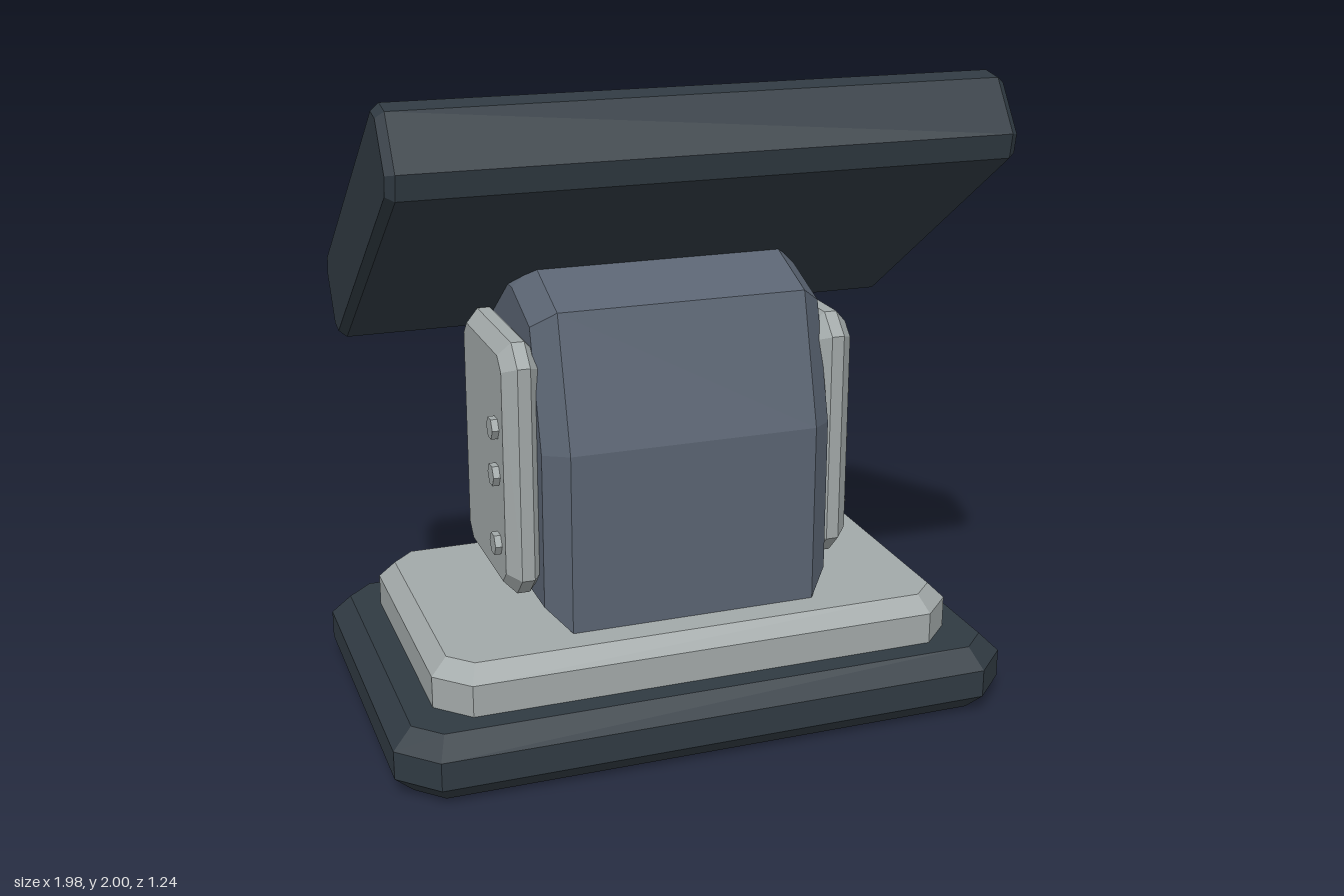
import * as THREE from 'three';

const mat = (name, color) => {
  const m = new THREE.MeshStandardMaterial({ color });
  m.name = name;
  return m;
};

// Octagon outline: rectangle with cut corners, counter-clockwise
function octagon(w, h, c) {
  return [[-w + c, -h], [w - c, -h], [w, -h + c], [w, h - c],
    [w - c, h], [-w + c, h], [-w, h - c], [-w, -h + c]];
}

// Move every edge of a convex outline inwards by d
function inset(pts, d) {
  const n = pts.length;
  return pts.map((p, i) => {
    const a = pts[(i + n - 1) % n], b = pts[(i + 1) % n];
    const l1 = Math.hypot(p[0] - a[0], p[1] - a[1]);
    const l2 = Math.hypot(b[0] - p[0], b[1] - p[1]);
    const n1 = [-(p[1] - a[1]) / l1, (p[0] - a[0]) / l1];
    const n2 = [-(b[1] - p[1]) / l2, (b[0] - p[0]) / l2];
    const k = d / (1 + n1[0] * n2[0] + n1[1] * n2[1]);
    return [p[0] + (n1[0] + n2[0]) * k, p[1] + (n1[1] + n2[1]) * k];
  });
}

// Flat-faced solid along z from an outline and levels of [depth, inset]
function bevelled(outline, levels) {
  const rings = levels.map(([z, d]) => inset(outline, d).map(([x, y]) => [x, y, z]));
  const pos = [];
  const tri = (a, b, c) => pos.push(...a, ...b, ...c);
  const n = outline.length;
  for (let r = 0; r < rings.length - 1; r++) {
    for (let i = 0; i < n; i++) {
      const j = (i + 1) % n, lo = rings[r], hi = rings[r + 1];
      tri(lo[i], lo[j], hi[j]);
      tri(lo[i], hi[j], hi[i]);
    }
  }
  const first = rings[0], last = rings[rings.length - 1];
  for (let i = 1; i < n - 1; i++) {
    tri(first[0], first[i + 1], first[i]);
    tri(last[0], last[i], last[i + 1]);
  }
  const g = new THREE.BufferGeometry();
  g.setAttribute('position', new THREE.Float32BufferAttribute(pos, 3));
  g.computeVertexNormals();
  return g;
}

export function createModel() {
  const dark = mat('dark slate', 0x303a42);
  const slate = mat('blue grey', 0x5a6472);
  const grey = mat('light grey', 0xa2a9a9);
  const trim = mat('trim grey', 0x4b555f);

  const model = new THREE.Group();
  model.name = 'displayStand';
  const add = (name, geo, material, parent = model) => {
    const m = new THREE.Mesh(geo, material);
    m.name = name;
    parent.add(m);
    return m;
  };

  // Stepped foot
  add('base', bevelled(octagon(0.99, 0.62, 0.115),
    [[0, 0.06], [0.06, 0], [0.15, 0], [0.21, 0.06]]).rotateX(-Math.PI / 2), dark);
  add('basePlate', bevelled(octagon(0.845, 0.49, 0.1),
    [[0.2, 0], [0.31, 0], [0.36, 0.05]]).rotateX(-Math.PI / 2), grey);

  // Pedestal: side profile (back is +x here) widened across the model
  const profile = [[-0.35, 0.36], [0.405, 0.36], [0.44, 0.78], [0.405, 1.17],
    [0.2, 1.43], [0, 1.43], [-0.235, 1.34], [-0.35, 0.93]];
  add('pedestal', bevelled(profile,
    [[-0.465, 0.068], [-0.395, 0], [0.395, 0], [0.465, 0.068]]).rotateY(Math.PI / 2), slate);

  // Side covers with hexagonal bolts
  for (const [side, s] of [['left', 1], ['right', -1]]) {
    const cover = add(side + 'Cover', bevelled(octagon(0.2675, 0.4025, 0.065),
      [[-0.06, 0.04], [-0.02, 0], [0.02, 0], [0.06, 0.042]]).rotateY(Math.PI / 2), grey);
    cover.position.set(s * 0.505, 0.8475, -0.0125);
    for (const y of [0.975, 0.825, 0.6]) {
      const bolt = add(side + 'Bolt',
        new THREE.CylinderGeometry(0.036, 0.036, 0.024, 6).toNonIndexed().rotateZ(Math.PI / 2), grey);
      bolt.geometry.computeVertexNormals();
      bolt.position.set(s * 0.574, y, 0.14);
    }
  }

  // Tilted display head; its local +z runs back and down
  const head = new THREE.Group();
  head.name = 'head';
  head.position.set(0, 1.58, 0);
  head.rotation.x = THREE.MathUtils.degToRad(-35);
  head.rotation.x *= -1;
  head.scale.set(1, 1, 1);
  model.add(head);

  // The slope rises towards the front
  head.rotation.x = -THREE.MathUtils.degToRad(35);
  add('headCase', bevelled(octagon(0.585, 0.145, 0.053),
    [[-0.94, 0.02], [-0.915, 0], [0.915, 0], [0.94, 0.02]]).rotateY(Math.PI / 2), dark, head);
  add('screenPanel', new THREE.BoxGeometry(1.61, 0.06, 0.88).translate(0, 0.155, 0), dark, head);
  add('screenBar', new THREE.BoxGeometry(0.79, 0.03, 0.036).translate(0, 0.19, -0.308), trim, head);

  return model;
}
